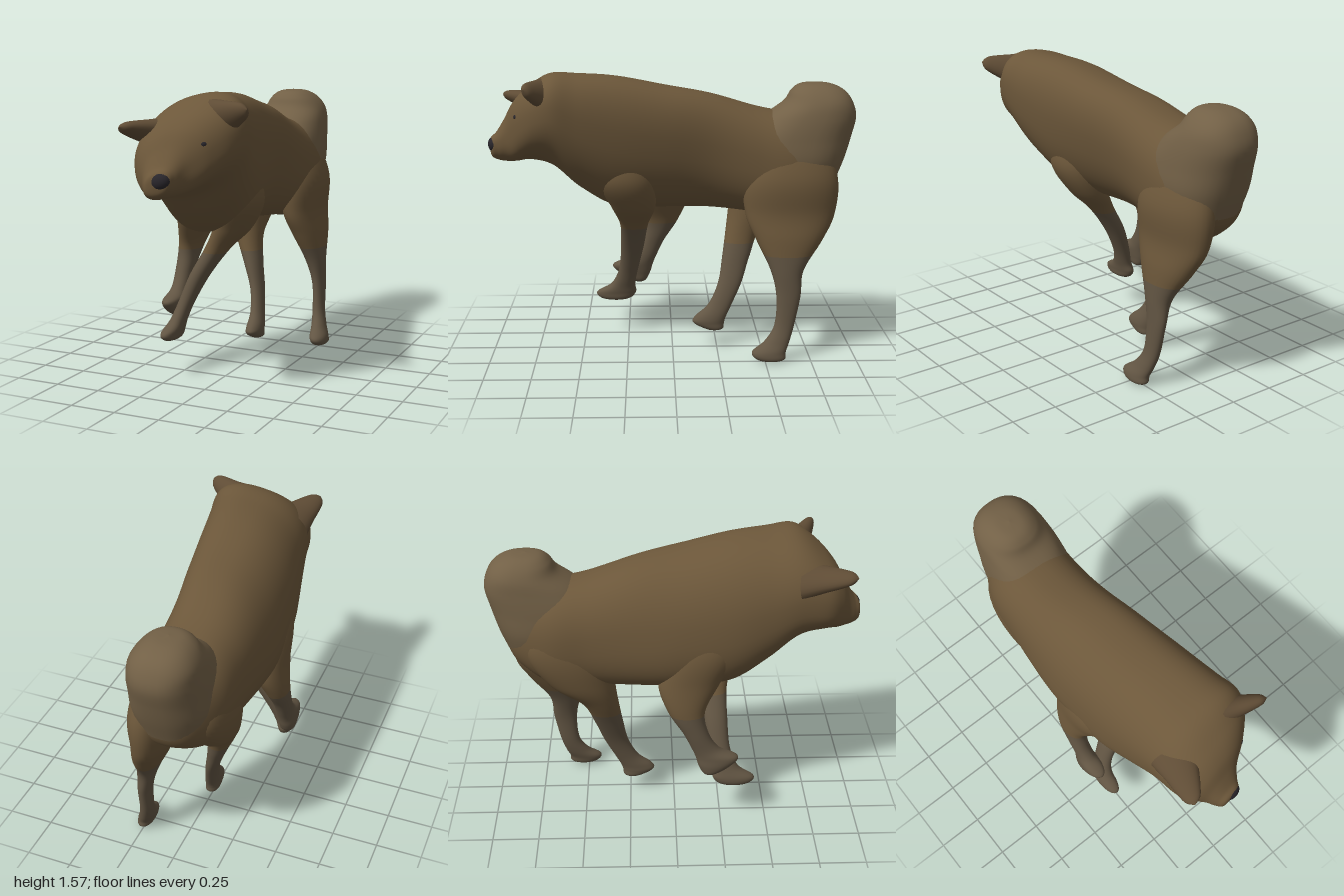
import * as THREE from 'three';

const material = (color) => new THREE.MeshStandardMaterial({ color, roughness: 0.9 });
const coat = material(0x6c573a);
const legCoat = material(0x625543);
const tailCoat = material(0x726046);
const earCoat = material(0x5f4c35);
const dark = material(0x29262b);

// Rounded loft through sections [x, y, z, radiusA, radiusB, roll].
// axis 'z': upright sections listed back to front; axis 'y': level sections listed top to bottom.
// start and end pick a stretch of the loft.
function loft(sections, axis, { power = 2.1, rings = 64, sides = 36, start = 0, end = 1 } = {}) {
  const curve = (pick) => new THREE.CatmullRomCurve3(sections.map(pick), false, 'catmullrom', 0.5);
  const centres = curve((s) => new THREE.Vector3(s[0], s[1], s[2]));
  const sizes = curve((s) => new THREE.Vector3(s[3], s[4], s[5] || 0));
  const positions = [], index = [];
  const round = (v) => Math.sign(v) * Math.pow(Math.abs(v), 2 / power);
  for (let i = 0; i <= rings; i++) {
    const at = start + (end - start) * (i / rings);
    const c = centres.getPoint(at), size = sizes.getPoint(at);
    const a = Math.max(size.x, 0.001), b = Math.max(size.y, 0.001);
    const cs = Math.cos(size.z), sn = Math.sin(size.z);
    for (let j = 0; j < sides; j++) {
      const t = (j / sides) * Math.PI * 2;
      const p = a * round(Math.cos(t)), q = b * round(Math.sin(t));
      const u = p * cs - q * sn, v = p * sn + q * cs;
      if (axis === 'z') positions.push(c.x + u, c.y + v, c.z);
      else positions.push(c.x + u, c.y, c.z + v);
      if (i < rings) {
        const k = i * sides + j, n = i * sides + ((j + 1) % sides);
        index.push(k, n, k + sides, n, n + sides, k + sides);
      }
    }
  }
  const geometry = new THREE.BufferGeometry();
  geometry.setAttribute('position', new THREE.Float32BufferAttribute(positions, 3));
  geometry.setIndex(index);
  geometry.computeVertexNormals();
  return geometry;
}

export function createModel() {
  const group = new THREE.Group();
  const add = (name, geometry, mat) => {
    const mesh = new THREE.Mesh(geometry, mat);
    mesh.name = name;
    group.add(mesh);
    return mesh;
  };

  // Trunk, neck, head and muzzle in one smooth skin
  const body = loft([
    [-0.02, 1.06, -0.9, 0, 0, 0],
    [-0.02, 1.06, -0.88, 0.1, 0.12, 0],
    [-0.025, 1.05, -0.81, 0.17, 0.2, 0],
    [-0.04, 1.04, -0.65, 0.235, 0.28, 0],
    [-0.045, 1.07, -0.45, 0.24, 0.295, 0.03],
    [-0.05, 1.115, -0.2, 0.242, 0.325, 0.07],
    [-0.035, 1.14, 0.05, 0.257, 0.35, 0.11],
    [-0.015, 1.17, 0.3, 0.27, 0.37, 0.16],
    [0, 1.235, 0.5, 0.27, 0.32, 0.2],
    [0.005, 1.3, 0.65, 0.265, 0.255, 0.24],
    [0.005, 1.28, 0.77, 0.235, 0.2, 0.26],
    [0.005, 1.235, 0.85, 0.175, 0.165, 0.26],
    [0, 1.185, 0.905, 0.108, 0.118, 0.24],
    [0.005, 1.155, 0.95, 0.077, 0.08, 0.22],
    [0.01, 1.148, 0.985, 0.052, 0.052, 0.2],
    [0.01, 1.148, 0.994, 0, 0, 0.2],
  ], 'z', { power: 2.35, rings: 110, sides: 56 });
  // The forequarters lean towards the left at the top, and the face is turned
  const points = body.attributes.position;
  for (let i = 0; i < points.count; i++) {
    const x = points.getX(i), y = points.getY(i), z = points.getZ(i);
    points.setX(i, x + 0.28 * (y - 1.2) * THREE.MathUtils.smoothstep(z, -0.7, 0));
    points.setZ(i, z - 0.2 * x * THREE.MathUtils.smoothstep(z, 0.5, 0.85));
  }
  body.computeVertexNormals();
  add('body', body, coat);

  // Bushy curled tail flowing out of the rump
  add('tail', loft([
    [-0.03, 1.495, -0.77, 0, 0],
    [-0.03, 1.485, -0.775, 0.075, 0.085],
    [-0.028, 1.45, -0.788, 0.13, 0.145],
    [-0.024, 1.39, -0.79, 0.17, 0.187],
    [-0.02, 1.31, -0.745, 0.19, 0.25],
    [-0.02, 1.2, -0.685, 0.205, 0.285],
    [-0.02, 1.08, -0.67, 0.21, 0.265],
    [-0.02, 0.95, -0.67, 0.18, 0.215],
  ], 'y', { power: 2.35 }), tailCoat);

  // Each leg runs from inside the body to a paw; every one has its own stride
  const legs = {
    frontLeftLeg: [
      [0.13, 1.14, 0.27, 0.06, 0.1],
      [0.1, 0.97, 0.25, 0.11, 0.15],
      [0.03, 0.82, 0.215, 0.1, 0.12],
      [-0.06, 0.7, 0.213, 0.068, 0.078],
      [-0.16, 0.55, 0.225, 0.054, 0.065],
      [-0.23, 0.4, 0.248, 0.043, 0.055],
      [-0.265, 0.3, 0.28, 0.042, 0.068],
      [-0.28, 0.245, 0.32, 0.046, 0.113],
      [-0.28, 0.207, 0.325, 0.038, 0.085],
      [-0.28, 0.19, 0.32, 0, 0],
    ],
    frontRightLeg: [
      [-0.18, 1.25, 0.2, 0.05, 0.1],
      [-0.215, 1.02, 0.15, 0.11, 0.19],
      [-0.25, 0.83, 0.075, 0.092, 0.165],
      [-0.295, 0.68, 0.06, 0.064, 0.1],
      [-0.31, 0.55, 0.11, 0.05, 0.068],
      [-0.312, 0.45, 0.165, 0.046, 0.075],
      [-0.315, 0.4, 0.225, 0.052, 0.115],
      [-0.32, 0.35, 0.215, 0.05, 0.09],
      [-0.32, 0.305, 0.19, 0.038, 0.04],
      [-0.32, 0.29, 0.185, 0, 0],
    ],
    hindLeftLeg: [
      [0.06, 1.25, -0.66, 0.07, 0.14],
      [0.095, 1.0, -0.64, 0.125, 0.25],
      [0.11, 0.8, -0.635, 0.105, 0.243],
      [0.145, 0.66, -0.63, 0.088, 0.18],
      [0.185, 0.5, -0.617, 0.055, 0.09],
      [0.205, 0.36, -0.625, 0.036, 0.066],
      [0.213, 0.2, -0.605, 0.034, 0.054],
      [0.23, 0.11, -0.565, 0.04, 0.068],
      [0.248, 0.055, -0.52, 0.047, 0.092],
      [0.255, 0.015, -0.53, 0.04, 0.075],
      [0.258, 0, -0.535, 0, 0],
    ],
    hindRightLeg: [
      [-0.15, 1.25, -0.58, 0.06, 0.12],
      [-0.17, 1.0, -0.56, 0.115, 0.23],
      [-0.17, 0.8, -0.5, 0.105, 0.18],
      [-0.15, 0.66, -0.405, 0.075, 0.1],
      [-0.105, 0.5, -0.36, 0.05, 0.077],
      [-0.065, 0.36, -0.325, 0.036, 0.066],
      [-0.04, 0.24, -0.27, 0.035, 0.066],
      [-0.028, 0.17, -0.215, 0.042, 0.088],
      [-0.026, 0.135, -0.205, 0.043, 0.087],
      [-0.025, 0.1, -0.235, 0.035, 0.05],
      [-0.025, 0.088, -0.24, 0, 0],
    ],
  };
  for (const [name, sections] of Object.entries(legs)) {
    add(name + 'Upper', loft(sections, 'y', { end: 0.35, rings: 28 }), coat);
    add(name + 'Lower', loft(sections, 'y', { start: 0.35, rings: 44 }), legCoat);
  }

  // Broad-based, flattened, round-tipped ears
  const earProfile = new THREE.SplineCurve([[0.14, 0], [0.1, 0.35], [0.068, 0.7], [0.042, 0.9], [0.0001, 1]]
    .map((p) => new THREE.Vector2(...p))).getPoints(20);
  const ear = (name, base, tip, width) => {
    const from = new THREE.Vector3(...base), up = new THREE.Vector3(...tip).sub(from);
    const mesh = add(name, new THREE.LatheGeometry(earProfile, 24), earCoat);
    mesh.position.copy(from);
    mesh.scale.set(width, up.length(), 0.55);
    mesh.quaternion.setFromUnitVectors(new THREE.Vector3(0, 1, 0), up.normalize());
  };
  ear('leftEar', [0.16, 1.44, 0.66], [0.365, 1.5, 0.765], 0.8);
  ear('rightEar', [-0.13, 1.36, 0.68], [-0.225, 1.41, 0.94], 0.9);

  // Eyes and nose
  const ball = (name, x, y, z, rx, ry, rz) => {
    const mesh = add(name, new THREE.SphereGeometry(1, 20, 14), dark);
    mesh.position.set(x, y, z);
    mesh.scale.set(rx, ry, rz);
    mesh.rotation.z = 0.25;
  };
  ball('leftEye', 0.15, 1.33, 0.82, 0.035, 0.022, 0.022);
  ball('rightEye', -0.07, 1.28, 0.885, 0.035, 0.022, 0.022);
  ball('nose', 0.005, 1.165, 0.96, 0.055, 0.045, 0.04);
  return group;
}
